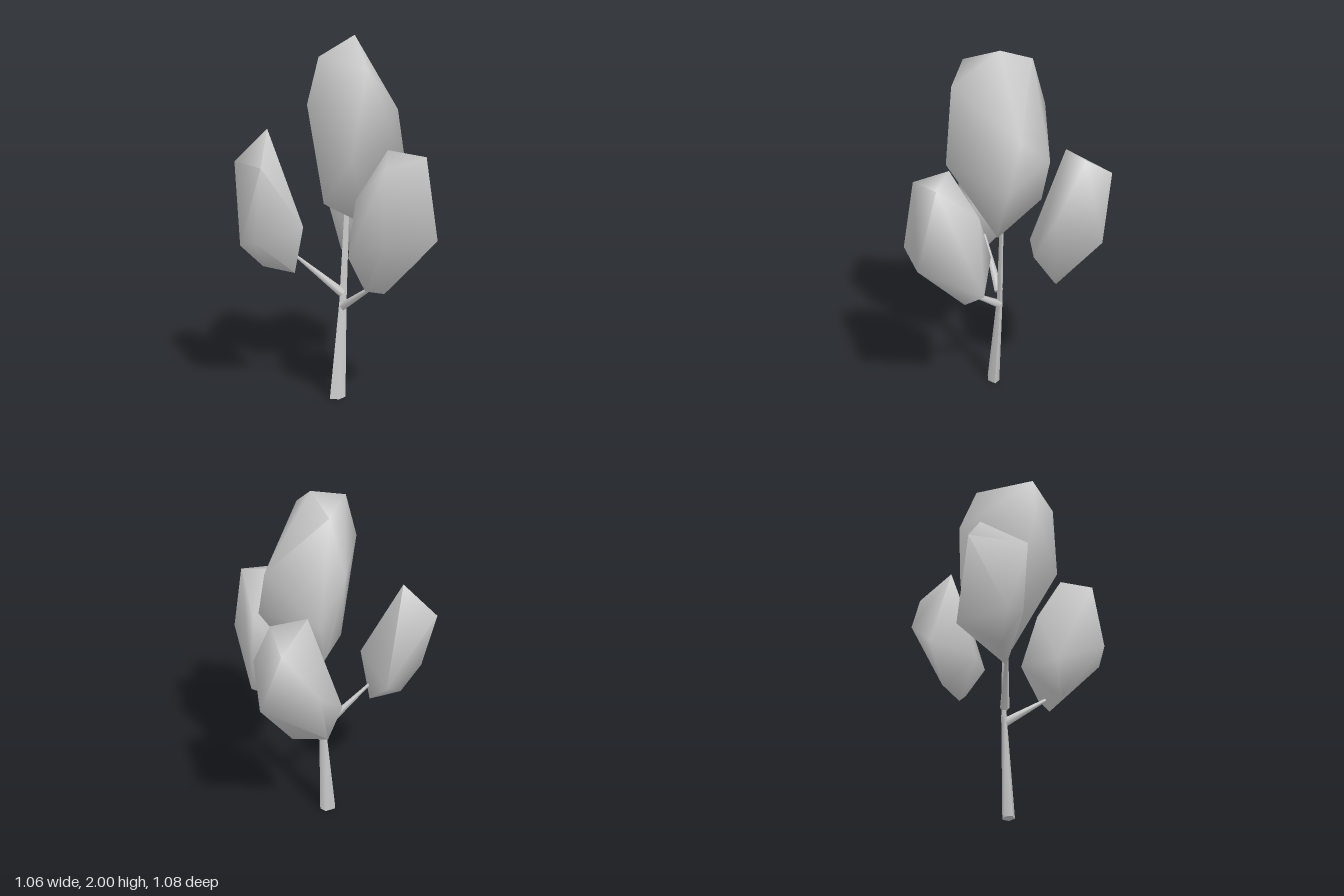
import * as THREE from 'three';
import { ConvexGeometry } from 'three/addons/geometries/ConvexGeometry.js';
import { toCreasedNormals } from 'three/addons/utils/BufferGeometryUtils.js';

const material = new THREE.MeshStandardMaterial({ color: 0xcccccc, side: THREE.DoubleSide });
const vec = (p) => new THREE.Vector3(...p);

// Leaf mass: convex hull of its corners, smoothly shaded
function foliage(name, corners) {
  const hull = new ConvexGeometry(corners.map(vec));
  const mesh = new THREE.Mesh(toCreasedNormals(hull, 1.8), material);
  mesh.name = name;
  return mesh;
}

// Tapered limb with horizontal ends (trunk) or square ends (branches)
function limb(name, from, to, r0, r1, sheared = false) {
  const a = vec(from), b = vec(to), d = b.clone().sub(a);
  const length = sheared ? d.y : d.length();
  const geo = new THREE.CylinderGeometry(r1, r0, length, 5, 1);
  geo.translate(0, length / 2, 0);
  if (sheared) {
    // flatten in depth and lean by sliding each level sideways
    geo.scale(1, 1, 0.65);
    geo.applyMatrix4(new THREE.Matrix4().set(
      1, d.x / d.y, 0, 0, 0, 1, 0, 0, 0, d.z / d.y, 1, 0, 0, 0, 0, 1));
  } else {
    geo.applyQuaternion(new THREE.Quaternion().setFromUnitVectors(
      new THREE.Vector3(0, 1, 0), d.normalize()));
  }
  geo.translate(a.x, a.y, a.z);
  const mesh = new THREE.Mesh(toCreasedNormals(geo, 1.3), material);
  mesh.name = name;
  return mesh;
}

export function createModel() {
  const tree = new THREE.Group();
  tree.name = 'tree';

  // Trunk in two leaning lengths, then side branches
  tree.add(
    limb('lowerTrunk', [-0.017, 0, -0.044], [0.025, 0.55, -0.062], 0.05, 0.023, true),
    limb('upperTrunk', [0.025, 0.55, -0.062], [0.05, 1.12, -0.06], 0.023, 0.014, true),
    limb('rightBranch', [0.02, 0.6, -0.06], [-0.25, 0.84, -0.1], 0.026, 0.007),
    limb('frontBranch', [0.025, 0.52, -0.06], [0.14, 0.72, 0.2], 0.024, 0.008),
  );

  // Crown
  tree.add(foliage('topFoliage', [
    [0.08, 2.0, -0.03], [-0.16, 1.9, 0.06], [0.07, 1.93, -0.22], [0.04, 1.84, 0.22],
    [-0.225, 1.66, 0.06], [0.33, 1.6, -0.02], [0.03, 1.66, -0.32], [0.34, 1.34, 0.05],
    [-0.04, 1.39, 0.22], [0.15, 1.38, -0.29], [0.12, 1.16, -0.26], [-0.11, 1.12, 0],
    [0.12, 0.99, 0],
  ]));

  // Lower leaf masses around the trunk
  tree.add(foliage('frontFoliage', [
    [0.13, 1.435, 0.28], [0.28, 1.41, 0.42], [0.04, 1.37, 0.44], [0.31, 1.23, 0.2],
    [0.02, 1.15, 0.12], [0.29, 1.0, 0.535], [0.01, 1.0, 0.49], [-0.06, 0.87, 0.21],
    [0.15, 0.9, 0.055], [0.34, 0.79, 0.19], [0.02, 0.69, 0.25], [0.15, 0.65, 0.21],
  ]));
  tree.add(foliage('rightFoliage', [
    [-0.33, 1.5, -0.26], [-0.49, 1.32, -0.345], [-0.45, 1.33, -0.03], [-0.53, 0.9, -0.15],
    [-0.2, 0.96, -0.355], [-0.22, 1.0, -0.02], [-0.48, 0.93, -0.06], [-0.4, 0.77, -0.16],
    [-0.24, 0.73, -0.1],
  ]));
  tree.add(foliage('leftFoliage', [
    [0.44, 1.49, -0.33], [0.24, 1.48, -0.33], [0.45, 1.4, -0.48], [0.46, 1.2, -0.155],
    [0.27, 1.14, -0.54], [0.53, 1.06, -0.39], [0.11, 1.0, -0.455], [0.11, 0.93, -0.2],
    [0.3, 0.93, -0.12], [0.34, 0.78, -0.22], [0.15, 0.76, -0.375], [0.3, 0.735, -0.26],
  ]));
  return tree;
}
